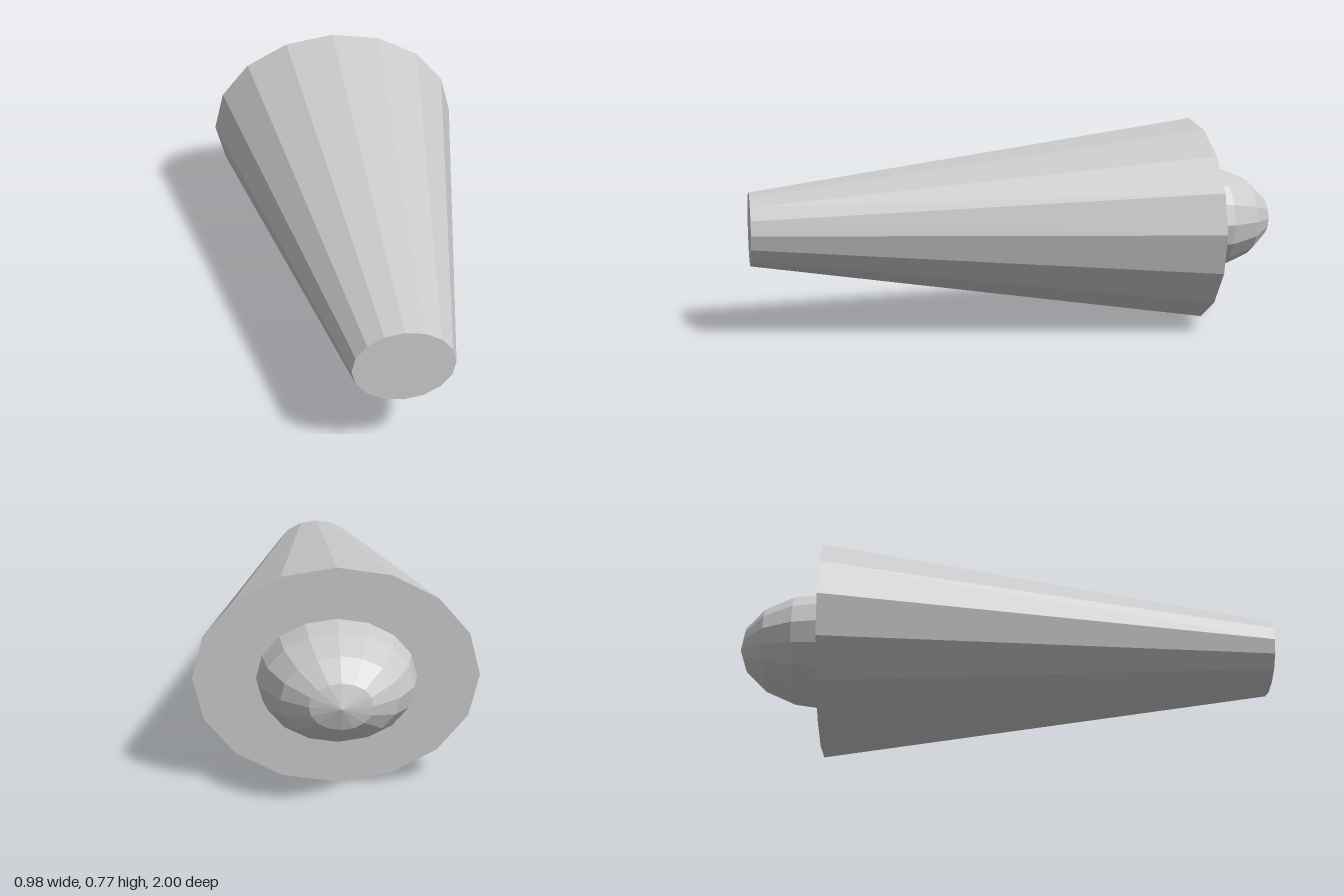
import * as THREE from 'three';

const SIDES = 16;
const CENTRE_Y = 0.387;

export function createModel() {
  const group = new THREE.Group();
  const material = new THREE.MeshStandardMaterial({ color: 0xcccccc, flatShading: true });

  const add = (name, geometry, z) => {
    const mesh = new THREE.Mesh(geometry, material);
    mesh.name = name;
    mesh.position.set(0, CENTRE_Y, z);
    group.add(mesh);
  };

  // Tapered oval body, narrow end to the front
  const front = 1, back = -0.68;
  const body = new THREE.CylinderGeometry(0.175, 0.49, front - back, SIDES)
    .rotateX(Math.PI / 2)
    .scale(1, 0.785, 1);
  add('taperedBody', body, (front + back) / 2);

  // Oval half-dome on the wide end, its rim sunk just inside the body
  const dome = new THREE.SphereGeometry(1, SIDES, 4, 0, Math.PI * 2, 0, Math.PI / 2)
    .rotateX(-Math.PI / 2)
    .scale(0.277, 0.209, 0.34);
  add('rearDome', dome, -0.66);

  return group;
}
